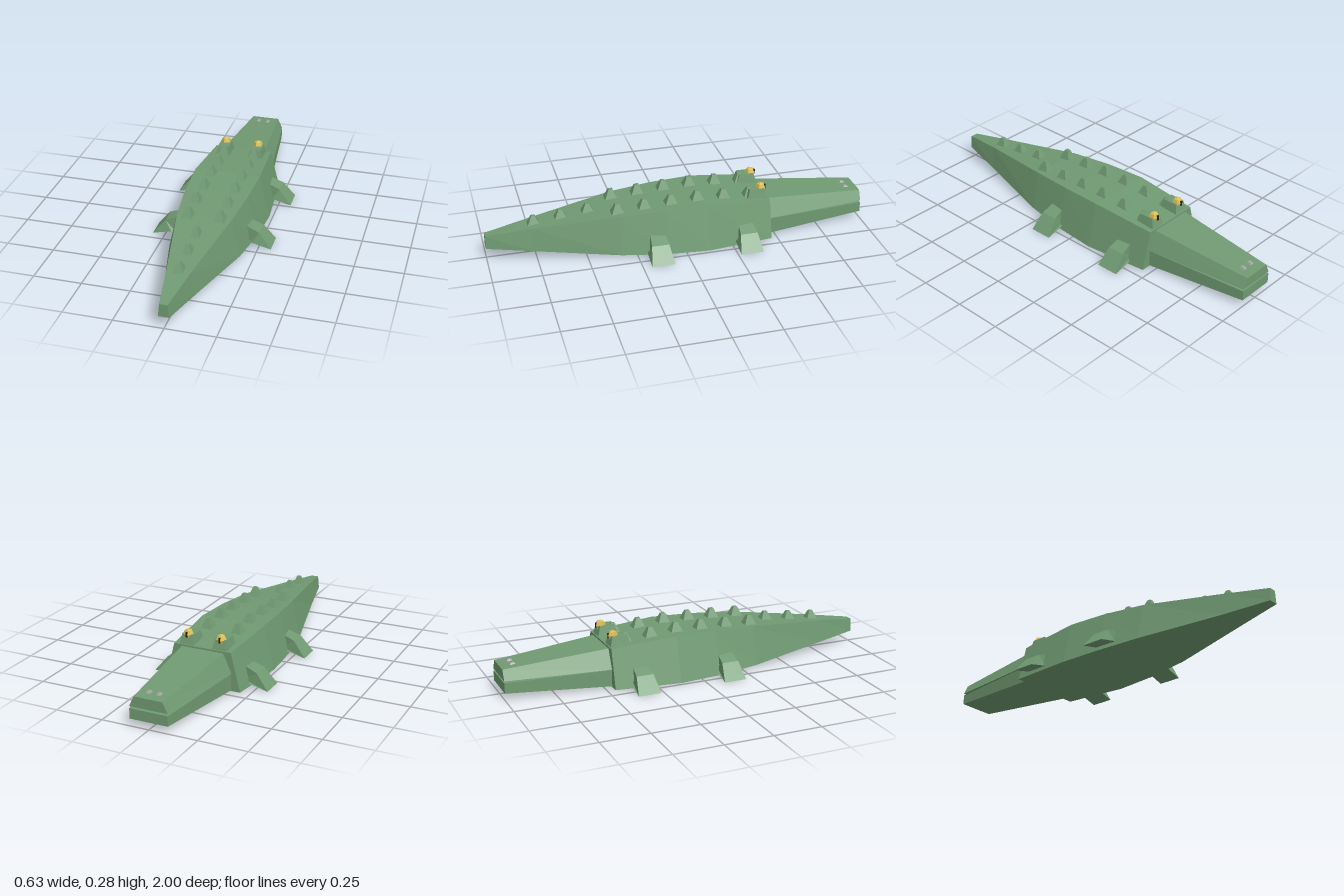
import * as THREE from 'three';

const material = (name, color) => {
  const m = new THREE.MeshStandardMaterial({ color });
  m.name = name;
  return m;
};

// Flat-shaded skin through four-cornered rings, closed at both ends
function loft(rings) {
  const pos = [];
  const quad = (a, b, c, d) => pos.push(...a, ...b, ...c, ...a, ...c, ...d);
  for (let i = 0; i < rings.length - 1; i++) {
    const p = rings[i], q = rings[i + 1];
    for (let k = 0; k < 4; k++) {
      const n = (k + 1) % 4;
      quad(p[k], p[n], q[n], q[k]);
    }
  }
  quad(...[...rings[0]].reverse());
  quad(...rings[rings.length - 1]);
  const g = new THREE.BufferGeometry();
  g.setAttribute('position', new THREE.Float32BufferAttribute(pos, 3));
  g.computeVertexNormals();
  return g;
}

const flat = (geometry) => {
  const g = geometry.toNonIndexed();
  g.computeVertexNormals();
  return g;
};

// Trapezoid ring across the body: z, top half width, bottom half width, top y, bottom y
const ring = ([z, t, b, yt, yb]) => [[-b, yb, z], [b, yb, z], [t, yt, z], [-t, yt, z]];

// Square frustum standing on y = 0
function frustum(baseX, baseZ, top, height) {
  const g = new THREE.CylinderGeometry(top * Math.SQRT1_2, Math.SQRT1_2, height, 4);
  g.rotateY(Math.PI / 4);
  g.translate(0, height / 2, 0);
  g.scale(baseX, 1, baseZ);
  return flat(g);
}

const bodySections = [
  [-0.465, 0.155, 0.205, 0.21, 0.01],
  [-0.12, 0.175, 0.232, 0.235, 0.003],
  [0.1, 0.165, 0.218, 0.23, 0.007],
  [0.33, 0.14, 0.185, 0.217, 0.017],
  [0.76, 0.06, 0.08, 0.168, 0.047],
  [1, 0.02, 0.027, 0.135, 0.067],
];

// Height of the back at a given z
function backHeight(z) {
  const i = Math.max(1, bodySections.findIndex((s) => s[0] >= z));
  const a = bodySections[i - 1], b = bodySections[i];
  return THREE.MathUtils.lerp(a[3], b[3], (z - a[0]) / (b[0] - a[0]));
}

export function createModel() {
  const model = new THREE.Group();
  const green = material('scale green', 0x709a72);
  const yellow = material('eye yellow', 0xd8bc50);
  const black = material('pupil black', 0x222222);
  const grey = material('nostril grey', 0xa8a4a4);

  const add = (name, geometry, mat, x = 0, y = 0, z = 0) => {
    const mesh = new THREE.Mesh(geometry, mat);
    mesh.name = name;
    mesh.position.set(x, y, z);
    model.add(mesh);
    return mesh;
  };

  // Body and tail
  add('body', loft(bodySections.map(ring)), green);

  // Jaws with a narrow gap between them
  add('upperJaw', loft([
    [-1, 0.075, 0.1, 0.156, 0.103],
    [-0.45, 0.115, 0.16, 0.202, 0.103],
  ].map(ring)), green);
  add('lowerJaw', loft([
    [-1, 0.1, 0.1, 0.092, 0.04],
    [-0.45, 0.158, 0.158, 0.101, 0.013],
  ].map(ring)), green);

  // Splayed legs: x and y of the upper and lower edge, half width along z
  const legRing = ([xt, yt, xb, yb, w]) =>
    [[xb, yb, w], [xb, yb, -w], [xt, yt, -w], [xt, yt, w]];
  const leg = loft([
    [0.17, 0.115, 0.17, 0.04, 0.037],
    [0.25, 0.083, 0.205, 0.033, 0.045],
    [0.315, 0.003, 0.215, 0.028, 0.06],
  ].map(legRing));
  for (const side of [1, -1]) {
    const s = side > 0 ? 'left' : 'right';
    for (const [name, z] of [['FrontLeg', -0.325], ['BackLeg', 0.145]]) {
      add(s + name, leg, green, 0, 0, z).scale.x = side;
    }
  }

  // Two rows of back spikes, then one row along the tail
  const backSpike = frustum(0.06, 0.07, 0.3, 0.055);
  for (let i = 0; i < 6; i++) {
    const z = 0.33 - i * 0.14;
    for (const side of [1, -1]) add('backSpike', backSpike, green, side * 0.083, backHeight(z) - 0.008, z);
  }
  const tailSpike = frustum(0.054, 0.066, 0.3, 0.05);
  for (const z of [0.47, 0.61, 0.75]) add('tailSpike', tailSpike, green, 0, backHeight(z) - 0.008, z);

  // Eyes on raised mounts, and nostrils
  const mount = frustum(0.08, 0.11, 0.72, 0.055);
  const eye = flat(new THREE.SphereGeometry(0.028, 5, 4));
  const pupil = new THREE.BoxGeometry(0.008, 0.026, 0.008);
  const nostril = frustum(0.026, 0.034, 0.5, 0.012);
  for (const side of [1, -1]) {
    add('eyeMount', mount, green, side * 0.09, 0.206, -0.405);
    add('eye', eye, yellow, side * 0.09, 0.259, -0.433);
    add('pupil', pupil, black, side * 0.09, 0.26, -0.456);
    add('nostril', nostril, grey, side * 0.027, 0.157, -0.937);
  }
  return model;
}
